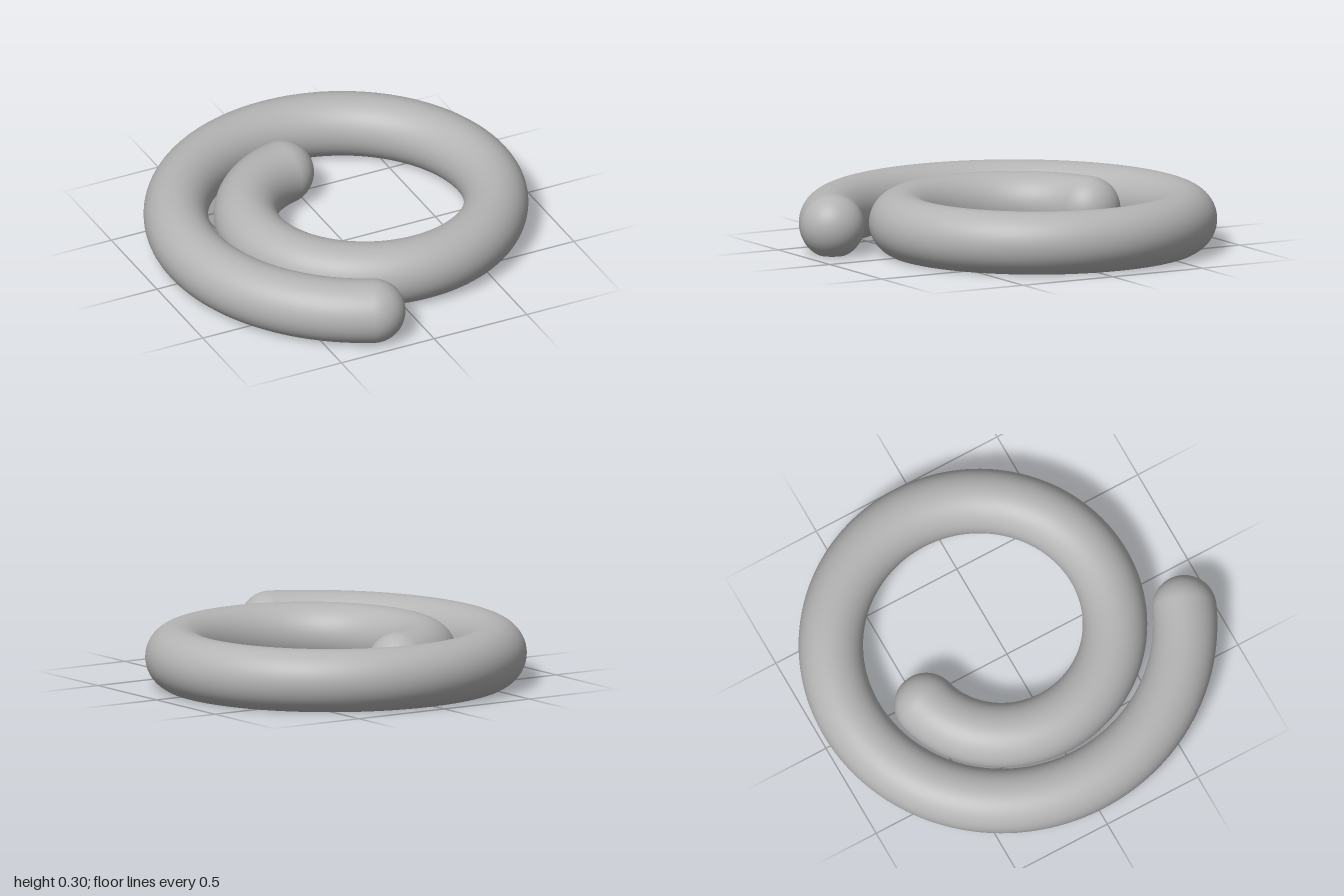
import * as THREE from 'three';

const RADIUS = 0.156, AXIS_Y = 0.14;        // tube radius and height of its centre line
const CENTRE_X = 0.082, CENTRE_Z = -0.046;  // middle of the spiral
const R0 = 0.542, PITCH = 0.34;             // spiral radius at angle 0, growth per turn
const START = -69.5 * Math.PI / 180, END = 429.5 * Math.PI / 180;
const STEPS = 220, SIDES = 48;

// Point on the spiral, its direction and its outward side
function spiralFrame(a) {
  const b = PITCH / (2 * Math.PI), r = R0 + b * a;
  const s = Math.sin(a), c = Math.cos(a);
  const point = new THREE.Vector3(CENTRE_X - r * c, AXIS_Y, CENTRE_Z + r * s);
  const tangent = new THREE.Vector3(r * s - b * c, 0, r * c + b * s).normalize();
  const side = new THREE.Vector3(-tangent.z, 0, tangent.x);
  return { point, tangent, side };
}

// Cross-section stations: round start cap, spiral body, round end cap
function stations() {
  const cut = Math.acos(AXIS_Y / RADIUS), cap = [];
  for (let k = 1; k <= 10; k++) cap.push(Math.asin(Math.sin(cut) * Math.sin(k / 10 * Math.PI / 2)));
  for (let k = 1; k <= 14; k++) cap.push(cut + (Math.PI / 2 - cut) * k / 14);
  const list = cap.map((phi) => ({ a: START, phi: -phi })).reverse();
  for (let i = 0; i <= STEPS; i++) list.push({ a: START + (END - START) * i / STEPS, phi: 0 });
  return list.concat(cap.map((phi) => ({ a: END, phi })));
}

function gridGeometry(positions, normals, rows, cols) {
  const index = [];
  for (let i = 0; i < rows - 1; i++) {
    for (let j = 0; j < cols - 1; j++) {
      const p = i * cols + j, q = p + cols;
      index.push(p, q, p + 1, q, q + 1, p + 1);
    }
  }
  const g = new THREE.BufferGeometry();
  g.setAttribute('position', new THREE.Float32BufferAttribute(positions, 3));
  g.setAttribute('normal', new THREE.Float32BufferAttribute(normals, 3));
  g.setIndex(index);
  return g;
}

export function createModel() {
  const grey = new THREE.MeshStandardMaterial({ color: 0xb4b4b4 });
  grey.name = 'light grey';

  const shellP = [], shellN = [], baseP = [], baseN = [];
  const rows = stations();
  const up = new THREE.Vector3(0, 1, 0);
  for (const { a, phi } of rows) {
    const { point, tangent, side } = spiralFrame(a);
    const rho = RADIUS * Math.cos(phi);
    // the arc stops where the ground plane cuts it
    const alpha = Math.asin(Math.min(1, AXIS_Y / Math.max(rho, 1e-6)));
    for (let j = 0; j <= SIDES; j++) {
      const psi = -alpha + (Math.PI + 2 * alpha) * j / SIDES;
      const n = side.clone().multiplyScalar(Math.cos(psi) * Math.cos(phi))
        .addScaledVector(up, Math.sin(psi) * Math.cos(phi))
        .addScaledVector(tangent, Math.sin(phi));
      const p = point.clone().addScaledVector(n, RADIUS);
      shellP.push(p.x, p.y, p.z);
      shellN.push(n.x, n.y, n.z);
    }
    // flat underside between the two cut edges
    const half = Math.sqrt(Math.max(0, rho * rho - AXIS_Y * AXIS_Y));
    if (rho < AXIS_Y - 1e-6) continue;
    for (const s of [-1, 1]) {
      const p = point.clone().addScaledVector(tangent, RADIUS * Math.sin(phi)).addScaledVector(side, s * half);
      baseP.push(p.x, 0, p.z);
      baseN.push(0, -1, 0);
    }
  }

  const shell = new THREE.Mesh(gridGeometry(shellP, shellN, rows.length, SIDES + 1), grey);
  shell.name = 'spiralTube';
  const base = new THREE.Mesh(gridGeometry(baseP, baseN, baseP.length / 6, 2), grey);
  base.name = 'flatUnderside';

  const group = new THREE.Group();
  group.name = 'flatBottomedSpiral';
  group.add(shell, base);
  return group;
}
